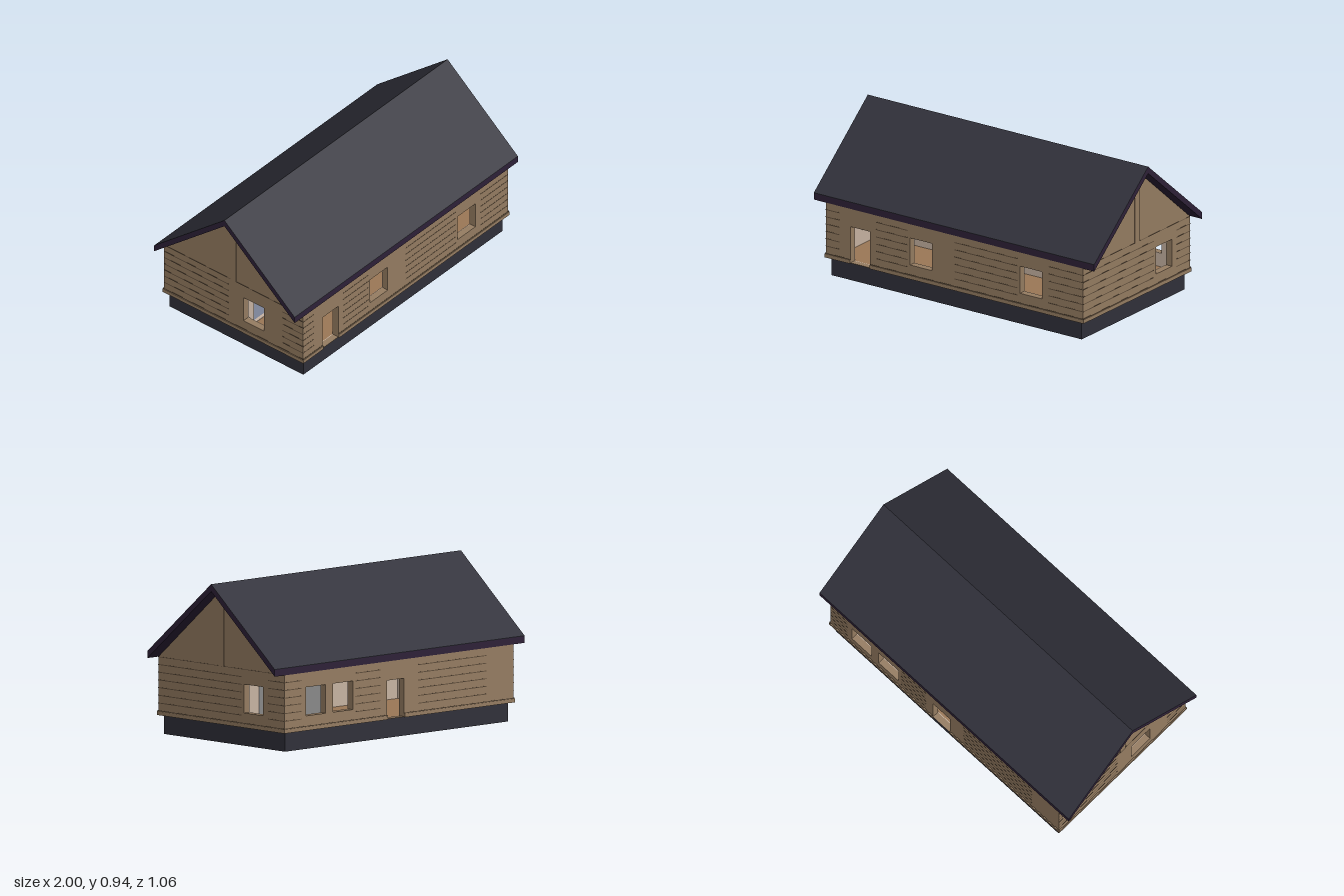
import * as THREE from 'three';

const mat = (name, color, side = THREE.FrontSide) => {
  const m = new THREE.MeshStandardMaterial({ color, side });
  m.name = name;
  return m;
};

export function createModel() {
  const house = new THREE.Group();
  house.name = 'logHouse';

  const timber = mat('timber', 0x967d62);
  const groove = mat('groove', 0x5e4d3b);
  const slate = mat('slate', 0x30303a);
  const trim = mat('roofTrim', 0x2e2138);
  const floorWood = mat('floorWood', 0x9c7856);
  const tile = mat('floorTile', 0x7c8498);
  const pinkPlaster = mat('warmPlaster', 0xc8b4a3);
  const greyPlaster = mat('greyPlaster', 0xc8c8c8);
  const bluePlaster = mat('bluePlaster', 0xaeb6cc);

  const add = (parent, name, geometry, material) => {
    const mesh = new THREE.Mesh(geometry, material);
    mesh.name = name;
    parent.add(mesh);
    return mesh;
  };
  // box given by its limits on each axis
  const box = (parent, name, material, [x0, x1], [y0, y1], [z0, z1]) => {
    const b = add(parent, name, new THREE.BoxGeometry(x1 - x0, y1 - y0, z1 - z0), material);
    b.position.set((x0 + x1) / 2, (y0 + y1) / 2, (z0 + z1) / 2);
    return b;
  };
  // flat outline with rectangular openings, extruded along +z
  const rect = (P, [x0, x1], [y0, y1]) => {
    const p = new P();
    p.moveTo(x0, y0);
    p.lineTo(x1, y0);
    p.lineTo(x1, y1);
    p.lineTo(x0, y1);
    p.closePath();
    return p;
  };
  const panel = (u, v, holes, depth) => {
    const s = rect(THREE.Shape, u, v);
    holes.forEach((h) => s.holes.push(rect(THREE.Path, h.u, h.v)));
    return new THREE.ExtrudeGeometry(s, { depth, bevelEnabled: false });
  };
  const windowAt = (a, b) => ({ u: [a, b], v: [0.196, 0.363] });
  const doorAt = (a, b) => ({ u: [a, b], v: [0.115, 0.338], door: true });

  // plinth ring and floors
  const plinth = add(house, 'plinth',
    panel([-0.893, 0.893], [-0.505, 0.505], [{ u: [-0.885, 0.885], v: [-0.497, 0.497] }], 0.112), slate);
  plinth.rotation.x = -Math.PI / 2;
  box(house, 'floor', floorWood, [-0.885, 0.885], [0.098, 0.112], [-0.497, 0.497]);
  box(house, 'bathroomFloor', tile, [-0.884, -0.55], [0.096, 0.114], [-0.496, 0.06]);

  // outer walls; u runs to the right as seen from outside
  const T = 0.04;
  const walls = [
    { name: 'frontWall', turn: 0, out: 0.525, half: 0.918,
      holes: [doorAt(-0.743, -0.603), windowAt(-0.317, -0.16), windowAt(0.467, 0.625)],
      lines: [[-0.918, -0.82], [-0.56, -0.335], [0, 0.45], [0.67, 0.918]] },
    { name: 'rightWall', turn: Math.PI / 2, out: 0.918, half: 0.485,
      holes: [windowAt(0.188, 0.347)],
      lines: [[-0.525, 0.167], [0.39, 0.525]] },
    { name: 'backWall', turn: Math.PI, out: 0.525, half: 0.918,
      holes: [windowAt(-0.745, -0.588), windowAt(-0.53, -0.37), doorAt(-0.095, 0.04)],
      lines: [[-0.918, -0.78], [-0.35, -0.15], [0.15, 0.7]] },
    { name: 'leftWall', turn: -Math.PI / 2, out: 0.918, half: 0.485,
      holes: [windowAt(0.075, 0.23)],
      lines: [[-0.525, -0.04], [0.37, 0.525]] },
  ];
  for (const w of walls) {
    const g = new THREE.Group();
    g.name = w.name;
    g.rotation.y = w.turn;
    house.add(g);
    add(g, 'logs', panel([-w.half, w.half], [0.112, 0.45], w.holes, T), timber).position.z = w.out - T;
    add(g, 'lining', panel([-w.half + 0.04, w.half - 0.04], [0.112, 0.45], w.holes, 0.004), pinkPlaster)
      .position.z = w.out - T - 0.004;

    // dark joints between the logs
    for (const seg of w.lines) {
      for (let i = 0; i < 6; i++) {
        const y = 0.181 + i * 0.0449;
        box(g, 'joint', groove, seg, [y - 0.0025, y + 0.0025], [w.out - 0.002, w.out + 0.0008]);
      }
    }
    // sill board, interrupted at doors
    const end = w.out > 0.6 ? 0.53 : 0.924;
    let from = -end;
    const stops = w.holes.filter((h) => h.door).map((h) => h.u);
    for (const [a, b] of [...stops, [end, end]]) {
      box(g, 'sillBoard', timber, [from, a], [0.111, 0.134], [w.out - 0.01, w.out + 0.006]);
      box(g, 'sillJoint', groove, [from, a], [0.134, 0.138], [w.out - 0.002, w.out + 0.001]);
      from = b;
    }
  }

  // gables with a centre post
  for (const side of [1, -1]) {
    const g = new THREE.Group();
    g.name = side > 0 ? 'leftGable' : 'rightGable';
    g.rotation.y = side * Math.PI / 2;
    house.add(g);
    const s = new THREE.Shape([[-0.525, 0.45], [0.525, 0.45], [0, 0.893]].map((p) => new THREE.Vector2(...p)));
    add(g, 'gableBoard', new THREE.ExtrudeGeometry(s, { depth: 0.03, bevelEnabled: false }), timber)
      .position.z = 0.887;
    box(g, 'gablePost', timber, [-0.021, 0.021], [0.45, 0.878], [0.9, 0.922]);
    box(g, 'gableJoint', groove, [-0.525, 0.525], [0.4485, 0.4515], [0.91, 0.9185]);
  }

  // inner partitions and ceiling
  const partition = add(house, 'longPartition',
    panel([-0.87, 0.87], [0.112, 0.445], [{ u: [-0.82, -0.695], v: [0.115, 0.34] }], 0.02), pinkPlaster);
  partition.position.z = 0.05;
  const cross = add(house, 'bedroomPartition',
    panel([-0.05, 0.48], [0.112, 0.445], [{ u: [0.09, 0.21], v: [0.115, 0.34] }], 0.02), greyPlaster);
  cross.rotation.y = Math.PI / 2;
  cross.position.x = 0.547;
  box(house, 'bathroomPartition', pinkPlaster, [-0.56, -0.54], [0.112, 0.445], [-0.48, 0.05]);
  box(house, 'bathroomTiling', bluePlaster, [-0.87, -0.56], [0.114, 0.445], [-0.481, -0.473]);
  box(house, 'ceiling', greyPlaster, [-0.878, 0.878], [0.44, 0.448], [-0.484, 0.484]);

  // roof: trim-coloured chevron with thin slate slopes on top
  const chevron = (name, half, low, high, thick, material) => {
    const pts = [[-half, low], [0, high], [half, low], [half, low + thick], [0, high + thick], [-half, low + thick]];
    const s = new THREE.Shape(pts.map((p) => new THREE.Vector2(...p)));
    const m = add(house, name, new THREE.ExtrudeGeometry(s, { depth: 2, bevelEnabled: false }), material);
    m.rotation.y = Math.PI / 2;
    m.position.x = -1;
  };
  chevron('roofBody', 0.53, 0.45, 0.893, 0.039, trim);
  chevron('roofCovering', 0.53, 0.489, 0.932, 0.003, slate);

  return house;
}
